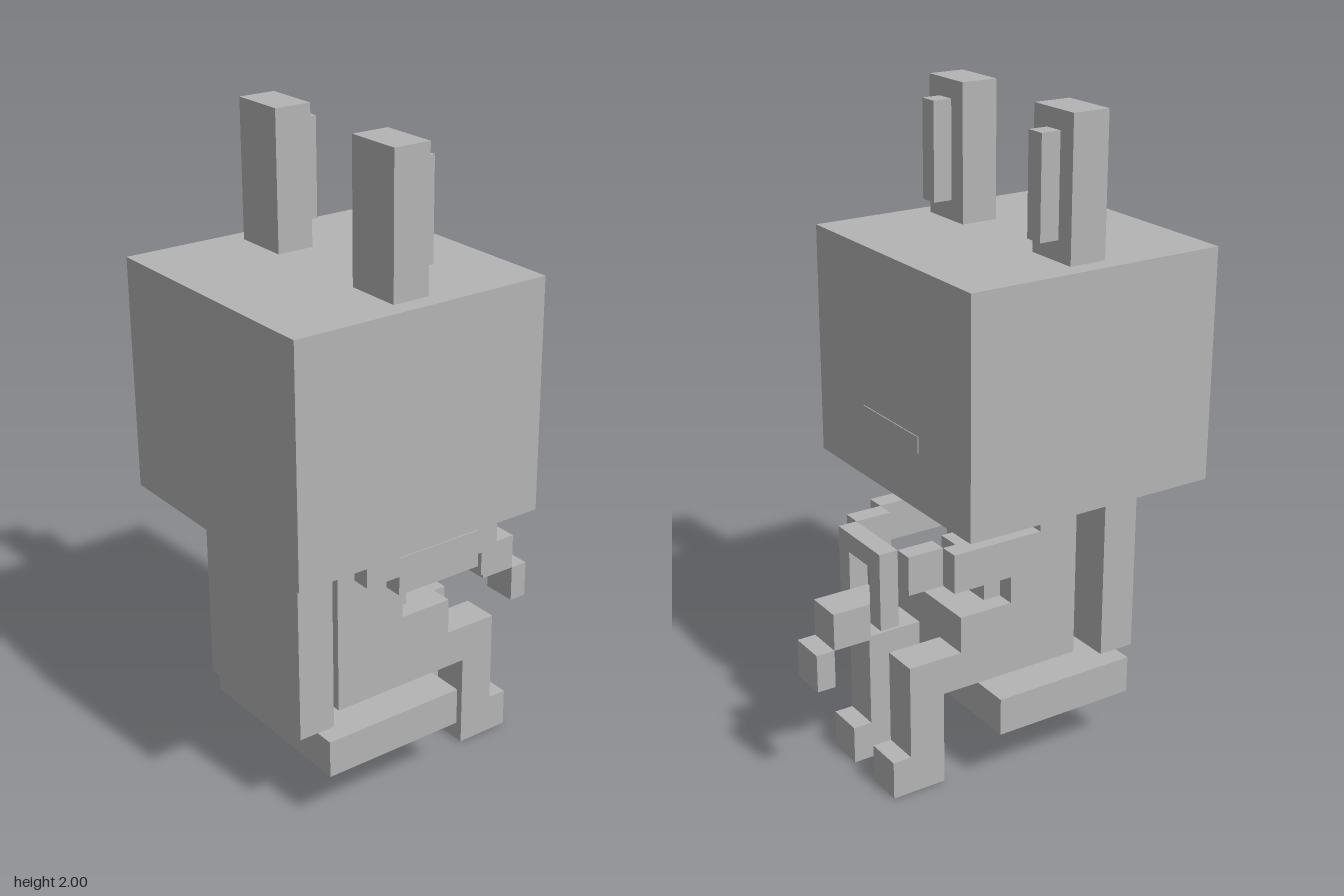
import * as THREE from 'three';

export function createModel() {
  const model = new THREE.Group();
  model.name = 'seatedRabbit';
  const grey = new THREE.MeshStandardMaterial({ color: 0xb4b4b4 });
  grey.name = 'grey';

  // Box given by its lower and upper limits on each axis
  const box = (name, [x0, x1], [y0, y1], [z0, z1]) => {
    const mesh = new THREE.Mesh(new THREE.BoxGeometry(x1 - x0, y1 - y0, z1 - z0), grey);
    mesh.position.set((x0 + x1) / 2, (y0 + y1) / 2, (z0 + z1) / 2);
    mesh.name = name;
    model.add(mesh);
  };
  // Mirrored pair of boxes
  const pair = (name, [x0, x1], y, z) => {
    box(name + 'Left', [x0, x1], y, z);
    box(name + 'Right', [-x1, -x0], y, z);
  };

  // Head, with a thin two-step mouth on the face (-z)
  box('head', [-0.41, 0.41], [0.89, 1.59], [-0.265, 0.555]);
  box('mouth', [-0.147, 0.125], [1.063, 1.112], [-0.268, -0.264]);
  box('mouthCorner', [0.125, 0.15], [1.088, 1.112], [-0.268, -0.264]);
  pair('ear', [0.175, 0.352], [1.59, 2], [0.09, 0.205]);
  pair('innerEar', [0.235, 0.295], [1.65, 1.945], [0.03, 0.09]);

  // Body
  box('neck', [-0.058, 0.058], [0.83, 0.89], [0.09, 0.205]);
  box('torso', [-0.175, 0.175], [0.297, 0.83], [0.03, 0.265]);
  box('belly', [-0.117, 0.117], [0.53, 0.65], [-0.027, 0.03]);
  box('lap', [-0.175, 0.175], [0.297, 0.53], [-0.145, 0.03]);

  // Arms, stepping inward towards the cup
  pair('shoulder', [0.175, 0.235], [0.71, 0.83], [0.09, 0.205]);
  pair('upperArm', [0.175, 0.235], [0.65, 0.77], [-0.205, 0.09]);
  pair('forearm', [0.117, 0.175], [0.65, 0.77], [-0.32, -0.205]);

  // Legs
  pair('knee', [0.058, 0.175], [0.297, 0.415], [-0.32, -0.145]);
  pair('shin', [0.058, 0.175], [0, 0.297], [-0.32, -0.205]);
  pair('foot', [0.058, 0.175], [0, 0.12], [-0.38, -0.32]);

  // Held square ring with a stepped spout
  pair('ringSide', [0.058, 0.117], [0.53, 0.77], [-0.38, -0.32]);
  box('ringTop', [-0.058, 0.058], [0.71, 0.77], [-0.38, -0.32]);
  box('ringBottom', [-0.058, 0.058], [0.53, 0.59], [-0.38, -0.32]);
  box('spout', [-0.058, 0.058], [0.475, 0.59], [-0.5, -0.38]);
  box('spoutTip', [-0.058, 0.058], [0.357, 0.475], [-0.558, -0.5]);

  // Chair
  box('seat', [-0.295, 0.295], [0.18, 0.297], [-0.085, 0.382]);
  box('chairBack', [-0.235, 0.235], [0.297, 0.83], [0.325, 0.442]);

  return model;
}
